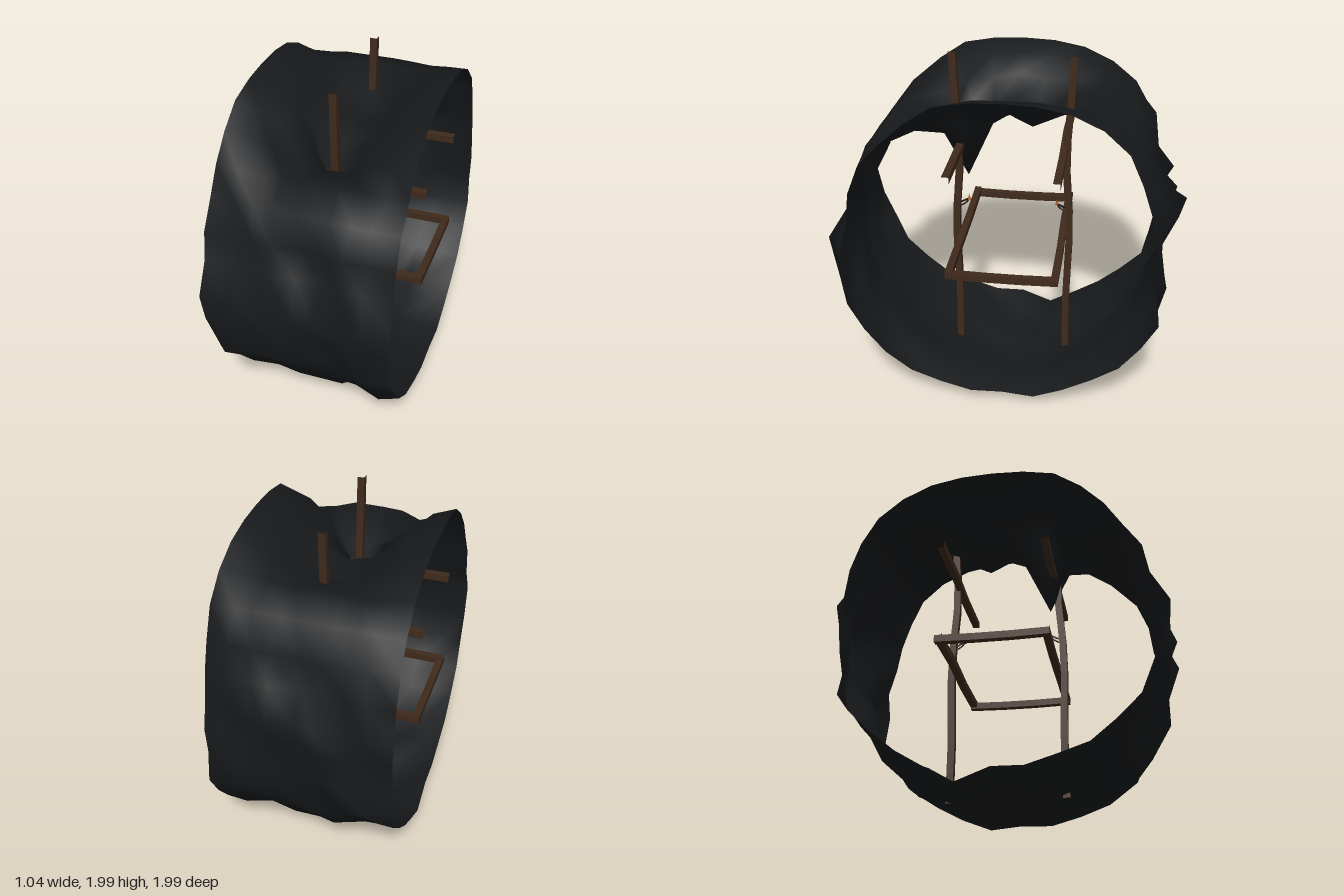
import * as THREE from 'three';

const rock = new THREE.MeshStandardMaterial({ color: 0x17191b, roughness: 1, side: THREE.DoubleSide });
const wood = new THREE.MeshStandardMaterial({ color: 0x3f2a1c, roughness: 1, flatShading: true });
const iron = new THREE.MeshStandardMaterial({ color: 0x1c1612, flatShading: true });
const ember = new THREE.MeshStandardMaterial({ color: 0xb05a20, flatShading: true });

// Largest and smallest wall radius every 11.25 degrees, from the roof towards the front
const OUTER = [.91, .92, .94, .92, .97, .96, .95, .92, 1, .98, 1.03, .97, 1.02, 1, .94, .95,
  .99, .965, .96, .98, .99, .95, .98, .94, .935, .99, .94, .98, 1, .97, .95, .925];
const INNER = [.6, .58, .6, .62, .76, .86, .87, .83, .92, .89, .9, .94, .92, .89, .9, .88,
  .84, .89, .89, .89, .87, .92, .83, .84, .82, .84, .865, .9, .95, .8, .71, .58];
// Radius of the open rims at the right and left ends
const RIM_RIGHT = [.91, .92, .94, .92, .9, .88, .9, .88, .96, .94, .92, .94, .92, .92, .89, .89,
  .87, .96, .92, .91, .91, .93, .88, .86, .86, .86, .89, .92, .95, .95, .94, .92];
const RIM_LEFT = [.91, .92, .94, .92, .91, .92, .9, .87, .9, .935, .965, .965, .97, .965, .94, .935,
  .91, .945, .93, .93, .95, .945, .95, .87, .87, .84, .86, .89, .94, .95, .94, .92];
// How far each roof row sinks in the middle (0 none, 1 fully)
const SAG = { 28: .3, 29: .35, 30: 1, 31: .95, 0: .9, 1: 1, 2: .95, 3: 1, 4: .2, 5: .25 };
const COLS = 9, MID = 4, HALF = 0.52;

function hash(i, j) {
  const s = Math.sin(i * 12.9898 + j * 78.233) * 43758.5453;
  return s - Math.floor(s);
}

// Mesh from rings of points; closed around each ring, open at both ends
function loft(name, rings, material) {
  const n = rings[0].length;
  const index = [];
  for (let j = 0; j < rings.length - 1; j++) {
    for (let k = 0; k < n; k++) {
      const a = j * n + k, b = j * n + (k + 1) % n;
      index.push(a, b, b + n, a, b + n, a + n);
    }
  }
  const geo = new THREE.BufferGeometry().setFromPoints(rings.flat());
  geo.setIndex(index);
  geo.computeVertexNormals();
  const mesh = new THREE.Mesh(geo, material);
  mesh.name = name;
  return mesh;
}

// Wall radius at row i of column j
function wallRadius(i, j) {
  if (j === 0) return RIM_RIGHT[i];
  if (j === COLS - 1) return RIM_LEFT[i];
  let w = 0.1 + 0.8 * hash(i, j);
  if (i in SAG) {
    const s = Math.cos(((j - MID) / MID) * Math.PI / 2) ** 2;
    w = SAG[i] < 0.5 ? SAG[i] + (1 - s) * 0.7 * (hash(i, j) - 0.3) : SAG[i] * s * (0.9 + 0.1 * hash(i, j));
  } else if (Math.abs(j - MID) <= 1 && i !== 16 && i >= 13 && i <= 19) {
    w = 0.05; // floor under the posts
  } else if ((i === 16 && (j === 2 || j === 5)) || (i === 8 && j === 7)) {
    w = 0; // furthest bumps
  }
  return THREE.MathUtils.lerp(OUTER[i], INNER[i], w);
}

// Rough rock tube along x with a sagging roof
function tunnelWall() {
  const n = OUTER.length;
  const rings = [];
  for (let j = 0; j < COLS; j++) {
    const rim = j === 0 || j === COLS - 1;
    const ring = [];
    for (let i = 0; i < n; i++) {
      const r = wallRadius(i, j);
      const a = (i / n) * Math.PI * 2;
      const x = ((j - MID) / MID) * HALF + (rim ? 0 : (hash(j + 40, i) - 0.5) * 0.06);
      ring.push(new THREE.Vector3(x, 1 + r * Math.cos(a), r * Math.sin(a)));
    }
    rings.push(ring);
  }
  // Sharp point hanging from the roof, and the furthest bump of the back wall
  rings[MID][2].set(-0.05, 1.22, 0.27);
  rings[MID + 1][25].set(0.12, 1.24, -0.99);
  return loft('tunnelWall', rings, rock);
}

// Open-ended square timber through the given centres; u x v points along it
const AXES = { x: ['y', 'z'], y: ['z', 'x'], z: ['x', 'y'] };
function timber(name, axis, points, size = 0.04) {
  const [u, v] = AXES[axis];
  const rings = points.map((p) => [[-1, -1], [1, -1], [1, 1], [-1, 1]].map(([a, b]) => {
    const q = new THREE.Vector3(...p);
    q[u] += a * size / 2;
    q[v] += b * size / 2;
    return q;
  }));
  return loft(name, rings, wood);
}

// Small wall torch on a bent bracket, s = side of the frame
function torch(s) {
  const group = new THREE.Group();
  group.name = 'torch';
  const path = new THREE.CatmullRomCurve3([[0.31, 1.05], [0.285, 1.065], [0.265, 1.085], [0.26, 1.1]]
    .map(([z, y]) => new THREE.Vector3(0.02, y, z * s)));
  const bracket = new THREE.Mesh(new THREE.TubeGeometry(path, 6, 0.005, 5), iron);
  bracket.name = 'torchBracket';
  const flame = new THREE.Mesh(new THREE.ConeGeometry(0.01, 0.04, 6), ember);
  flame.name = 'torchFlame';
  flame.position.set(0.02, 1.11, 0.258 * s);
  const brace = new THREE.Mesh(new THREE.BoxGeometry(0.008, 0.008, 0.045), iron);
  brace.name = 'torchBrace';
  brace.position.set(0.02, 1.085, 0.285 * s);
  brace.rotation.x = s * 0.5;
  group.add(bracket, flame, brace);
  return group;
}

export function createModel() {
  const model = new THREE.Group();
  model.name = 'mineTunnel';
  model.add(tunnelWall());

  for (const s of [1, -1]) {
    // Slightly bowed upright
    model.add(timber('post', 'y', [[0.1, 0.33], [0.45, 0.325], [0.85, 0.335], [1.05, 0.33],
      [1.3, 0.31], [1.5, 0.31], [1.75, 0.325], [2, 0.335]].map(([y, z]) => [0.02, y, z * s])));
    // Rails running the length of the tunnel
    for (const y of [0.88, 1.46]) {
      model.add(timber('rail', 'x', [[-0.52, y, 0.295 * s], [-0.17, y + 0.005, 0.29 * s],
        [0.17, y - 0.005, 0.295 * s], [0.52, y, 0.295 * s]]));
    }
    // Cross beam joining the lower rails at each end
    model.add(timber('crossBeam', 'z', [[0.5 * s, 0.87, -0.315], [0.5 * s, 0.865, -0.1],
      [0.5 * s, 0.865, 0.1], [0.5 * s, 0.87, 0.315]]));
    model.add(torch(s));
  }
  return model;
}
